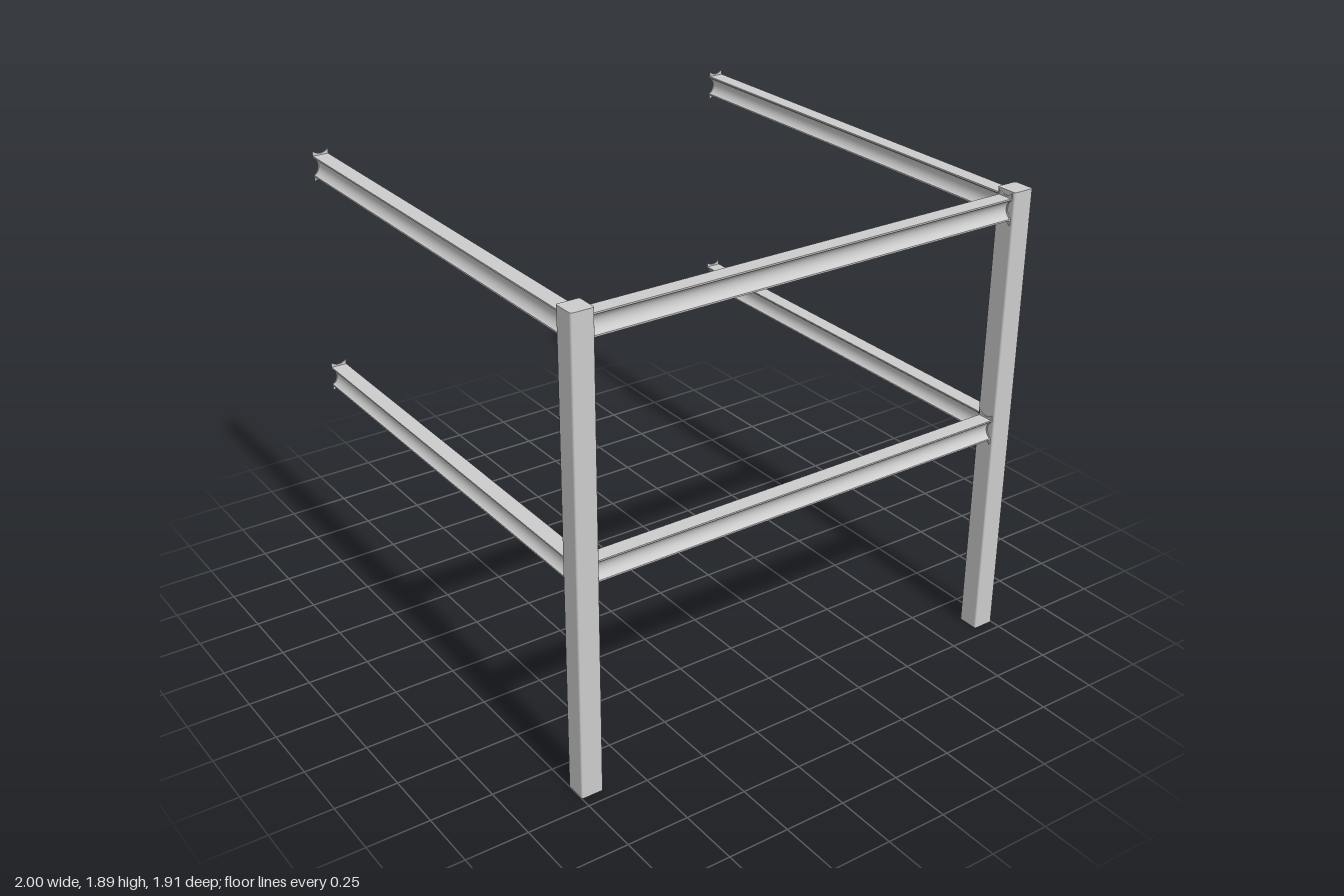
import * as THREE from 'three';

const material = new THREE.MeshStandardMaterial({ color: 0xcccccc });
const HEIGHT = 1.89, POST = 0.09, PX = 0.955, PZ = 0.91;
const HW = 0.0325, HH = 0.0425; // half width and half height of a beam

// Square post outline with small rounded corners
function postShape() {
  const h = POST / 2, r = 0.009, s = new THREE.Shape();
  s.moveTo(-h + r, -h);
  s.lineTo(h - r, -h);
  s.quadraticCurveTo(h, -h, h, -h + r);
  s.lineTo(h, h - r);
  s.quadraticCurveTo(h, h, h - r, h);
  s.lineTo(-h + r, h);
  s.quadraticCurveTo(-h, h, -h, h - r);
  s.lineTo(-h, -h + r);
  s.quadraticCurveTo(-h, -h, -h + r, -h);
  return s;
}

// Beam section: two flanges joined by a web with hollowed sides
function beamShape() {
  const f = HH - 0.006, s = new THREE.Shape();
  s.moveTo(-HW, -HH);
  s.lineTo(HW, -HH);
  s.lineTo(HW, -f);
  s.bezierCurveTo(0.004, -0.02, 0.004, 0.02, HW, f);
  s.lineTo(HW, HH);
  s.lineTo(-HW, HH);
  s.lineTo(-HW, f);
  s.bezierCurveTo(-0.004, 0.02, -0.004, -0.02, -HW, -f);
  s.closePath();
  return s;
}

// End plate: hollowed on all four sides, with ears at the corners
function plateShape() {
  const w = HW, h = 0.0625, s = new THREE.Shape();
  s.moveTo(-w, -h);
  s.quadraticCurveTo(0, -0.036, w, -h);
  s.lineTo(w, -0.036);
  s.bezierCurveTo(0.008, -0.018, 0.008, 0.018, w, 0.036);
  s.lineTo(w, h);
  s.quadraticCurveTo(0, 0.036, -w, h);
  s.lineTo(-w, 0.036);
  s.bezierCurveTo(-0.008, 0.018, -0.008, -0.018, -w, -0.036);
  s.closePath();
  return s;
}

function extrude(shape, depth) {
  return new THREE.ExtrudeGeometry(shape, { depth, bevelEnabled: false, curveSegments: 12 });
}

function addMesh(parent, name, geometry, z = 0) {
  const mesh = new THREE.Mesh(geometry, material);
  mesh.name = name;
  mesh.position.z = z;
  parent.add(mesh);
  return mesh;
}

// Beam running along its own +z, with a plate at each end
function makeBeam(name, length) {
  const group = new THREE.Group(), t = 0.005;
  group.name = name;
  addMesh(group, 'beam', extrude(beamShape(), length - 2 * t), t);
  addMesh(group, 'startPlate', extrude(plateShape(), t));
  addMesh(group, 'endPlate', extrude(plateShape(), t), length - t);
  return group;
}

export function createModel() {
  const model = new THREE.Group();
  model.name = 'frame';

  // Two front posts
  const postGeometry = extrude(postShape(), HEIGHT).rotateX(-Math.PI / 2);
  for (const side of [-1, 1]) {
    const post = addMesh(model, side > 0 ? 'leftPost' : 'rightPost', postGeometry, PZ);
    post.position.x = side * PX;
  }

  // Front and side beams on two levels
  const inner = PX - POST / 2, back = -0.955, sideLength = PZ - POST / 2 - back;
  for (const [level, y] of [['lower', 0.912], ['upper', 1.822]]) {
    const front = makeBeam(level + 'FrontBeam', inner * 2);
    front.rotation.y = Math.PI / 2;
    front.position.set(-inner, y, PZ);
    model.add(front);
    for (const side of [-1, 1]) {
      const beam = makeBeam(level + (side > 0 ? 'Left' : 'Right') + 'Beam', sideLength);
      beam.position.set(side * PX, y, back);
      model.add(beam);
    }
  }
  return model;
}
